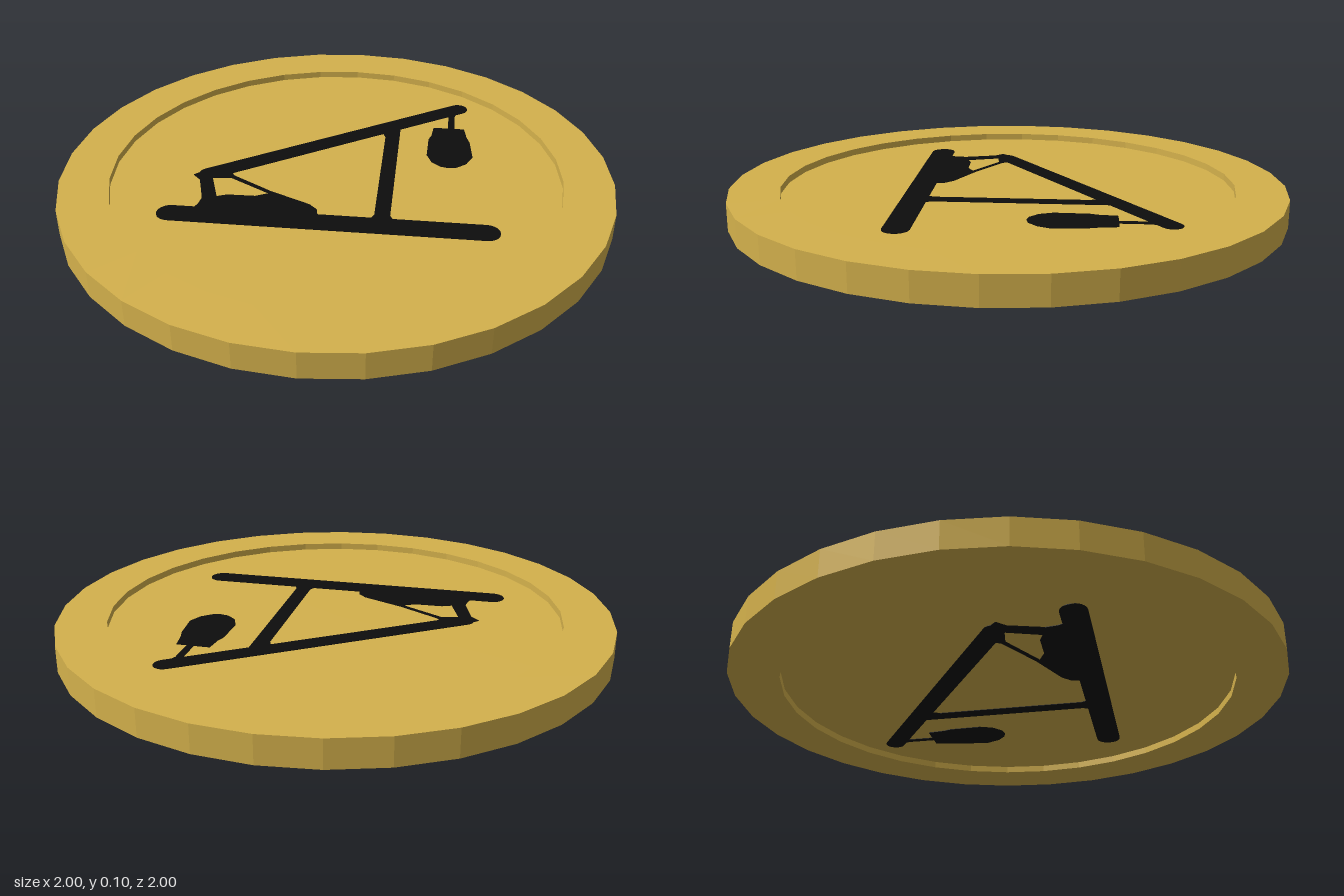
import * as THREE from 'three';

const HEIGHT = 0.098, RECESS = 0.025, RIM = 0.82;
const gold = new THREE.MeshStandardMaterial({ color: 0xd4b14c, flatShading: true });
gold.name = 'gold';
const black = new THREE.MeshStandardMaterial({ color: 0x0d0d0d });
black.name = 'black';

// Closed outline from [x, z] points
const outline = (points, Type = THREE.Shape) =>
  new Type(points.map(([x, z]) => new THREE.Vector2(x, -z)));

// Bar with rounded ends between two [x, z] points
function roundedBar([x0, z0], [x1, z1], r) {
  const heading = Math.atan2(z1 - z0, x1 - x0);
  const points = [];
  for (const [x, z, start] of [[x1, z1, heading - Math.PI / 2], [x0, z0, heading + Math.PI / 2]]) {
    for (let i = 0; i <= 10; i++) {
      const a = start + (i / 10) * Math.PI;
      points.push([x + r * Math.cos(a), z + r * Math.sin(a)]);
    }
  }
  return outline(points);
}

export function createModel() {
  const model = new THREE.Group();
  model.name = 'coin';

  // Disc with a raised rim on both faces
  const profile = [
    [0, RECESS], [RIM, RECESS], [RIM, 0], [1, 0],
    [1, HEIGHT], [RIM, HEIGHT], [RIM, HEIGHT - RECESS], [0, HEIGHT - RECESS],
  ].map(([x, y]) => new THREE.Vector2(x, y));
  const disc = new THREE.Mesh(new THREE.LatheGeometry(profile, 32), gold);
  disc.name = 'disc';
  model.add(disc);

  // Emblem, passing through the disc so it shows on both faces
  const emblem = new THREE.Group();
  emblem.name = 'emblem';
  model.add(emblem);

  // Frame around the winch, with an open triangle
  const winch = outline([
    [-0.52, 0.06], [-0.49, 0.03], [-0.4, 0.0], [-0.37, 0.05], [-0.22, 0.14], [-0.07, 0.21],
    [-0.04, 0.24], [-0.03, 0.3], [-0.48, 0.3], [-0.46, 0.25], [-0.455, 0.21], [-0.49, 0.09],
  ]);
  winch.holes.push(outline([
    [-0.445, 0.075], [-0.405, 0.195], [-0.37, 0.18], [-0.27, 0.178], [-0.225, 0.155], [-0.38, 0.065],
  ], THREE.Path));

  const parts = {
    base: roundedBar([-0.545, 0.315], [0.545, 0.315], 0.046),
    boom: roundedBar([-0.465, 0.045], [0.44, -0.565], 0.037),
    post: outline([
      [0.13, -0.34], [0.24, -0.42], [0.215, -0.37], [0.215, 0.25], [0.23, 0.28],
      [0.145, 0.28], [0.16, 0.25], [0.16, -0.3], [0.15, -0.325],
    ]),
    winch,
    hoistLine: outline([[0.38, -0.53], [0.45, -0.56], [0.427, -0.5], [0.427, -0.38], [0.402, -0.38], [0.402, -0.5]]),
    weight: outline([
      [0.345, -0.395], [0.465, -0.395], [0.475, -0.33], [0.487, -0.29], [0.498, -0.18], [0.475, -0.13],
      [0.44, -0.1], [0.41, -0.093], [0.38, -0.1], [0.345, -0.13], [0.325, -0.18], [0.328, -0.3], [0.338, -0.33],
    ]),
  };
  const lift = 0.002;
  for (const [name, shape] of Object.entries(parts)) {
    const geometry = new THREE.ExtrudeGeometry(shape, {
      depth: HEIGHT - 2 * RECESS + 2 * lift, bevelEnabled: false,
    });
    geometry.rotateX(-Math.PI / 2).translate(0, RECESS - lift, 0);
    const mesh = new THREE.Mesh(geometry, black);
    mesh.name = name;
    emblem.add(mesh);
  }
  return model;
}
